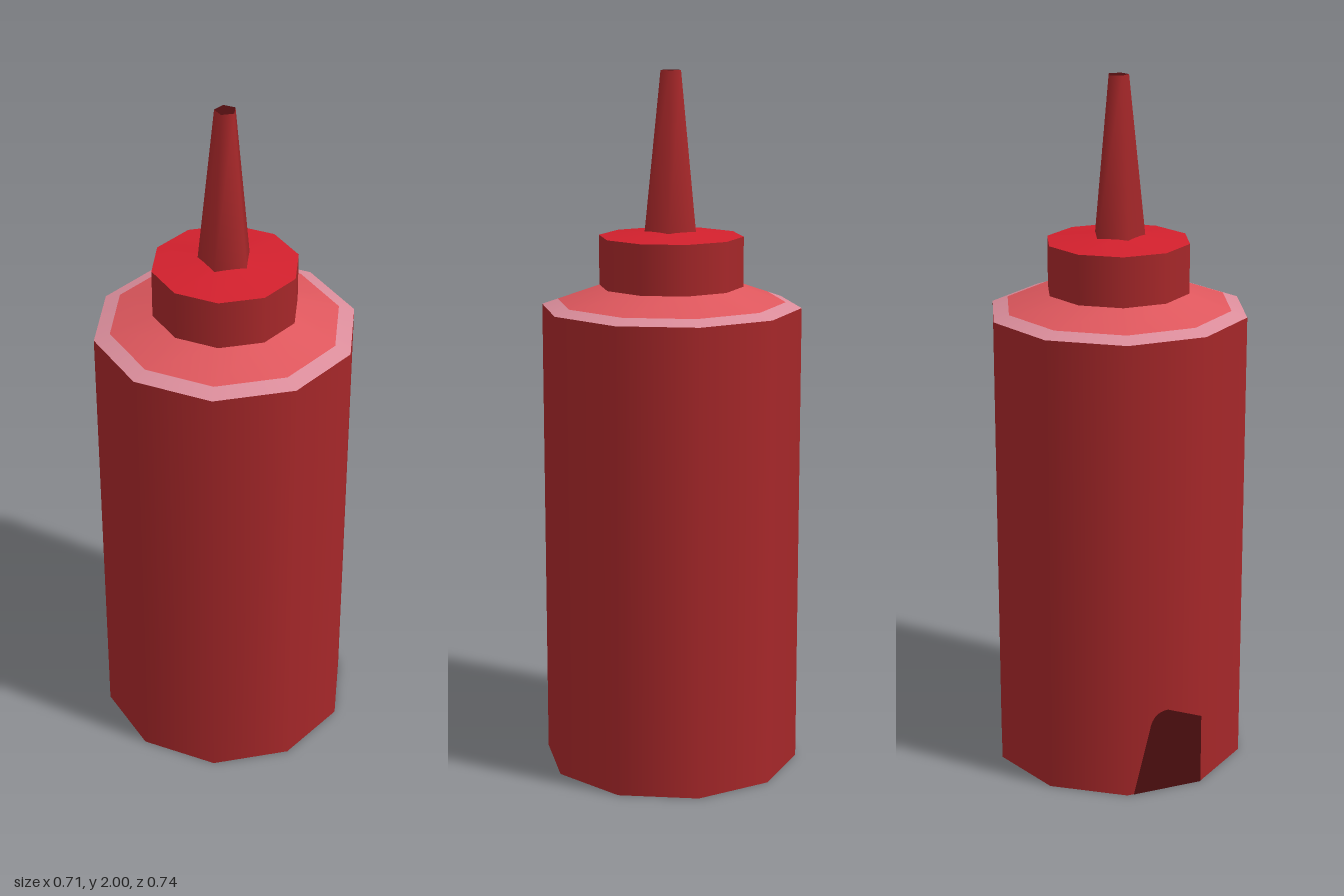
import * as THREE from 'three';

const SIDES = 10;

function material(name, color) {
  const m = new THREE.MeshStandardMaterial({ color });
  m.name = name;
  return m;
}

// Open ring wall between two radii and heights, smooth around its axis
function band(r0, y0, r1, y1, sides = SIDES, start = 0) {
  const g = new THREE.CylinderGeometry(r1, r0, y1 - y0, sides, 1, true, start);
  return g.translate(0, (y0 + y1) / 2, 0);
}

export function createModel() {
  const red = material('deepRed', 0xa62729);
  const bright = material('brightRed', 0xd2202d);
  const light = material('lightRed', 0xde575d);
  const pink = material('palePink', 0xdb8d9b);
  const dark = material('darkRed', 0x4e0e10);

  const model = new THREE.Group();
  model.name = 'squeezeBottle';
  const add = (name, geometry, mat) => {
    const mesh = new THREE.Mesh(geometry, mat);
    mesh.name = name;
    model.add(mesh);
  };

  // Bottle body and base
  add('body', band(0.37, 0, 0.37, 1.34), red);
  const base = new THREE.CircleGeometry(0.37, SIDES, Math.PI / 2).rotateX(Math.PI / 2);
  add('base', base, dark);

  // Sloping shoulder with a pale outer rim
  add('shoulderRim', band(0.37, 1.34, 0.325, 1.356), pink);
  add('shoulder', band(0.325, 1.356, 0.2, 1.4), light);

  // Cap with a slightly domed top
  add('capSide', band(0.205, 1.395, 0.205, 1.54), red);
  add('capTop', band(0.205, 1.54, 0.04, 1.558), bright);

  // Five-sided nozzle and its opening
  const point = -Math.PI / 2;
  add('nozzle', band(0.077, 1.545, 0.03, 2, 5, point), red);
  const tip = new THREE.CircleGeometry(0.03, 5, Math.PI).rotateX(-Math.PI / 2).translate(0, 2, 0);
  add('nozzleTip', tip, dark);

  // Dark patch low on the right side panel
  const patch = new THREE.Shape();
  patch.moveTo(-0.095, 0);
  patch.lineTo(0.114, 0);
  patch.lineTo(0.114, 0.21);
  patch.lineTo(0.01, 0.25);
  patch.quadraticCurveTo(-0.035, 0.25, -0.045, 0.2);
  const patchGeometry = new THREE.ShapeGeometry(patch).rotateY(-Math.PI / 2);
  patchGeometry.translate(-0.37 * Math.cos(Math.PI / SIDES) - 0.002, 0, 0);
  add('sidePatch', patchGeometry, dark);

  return model;
}
